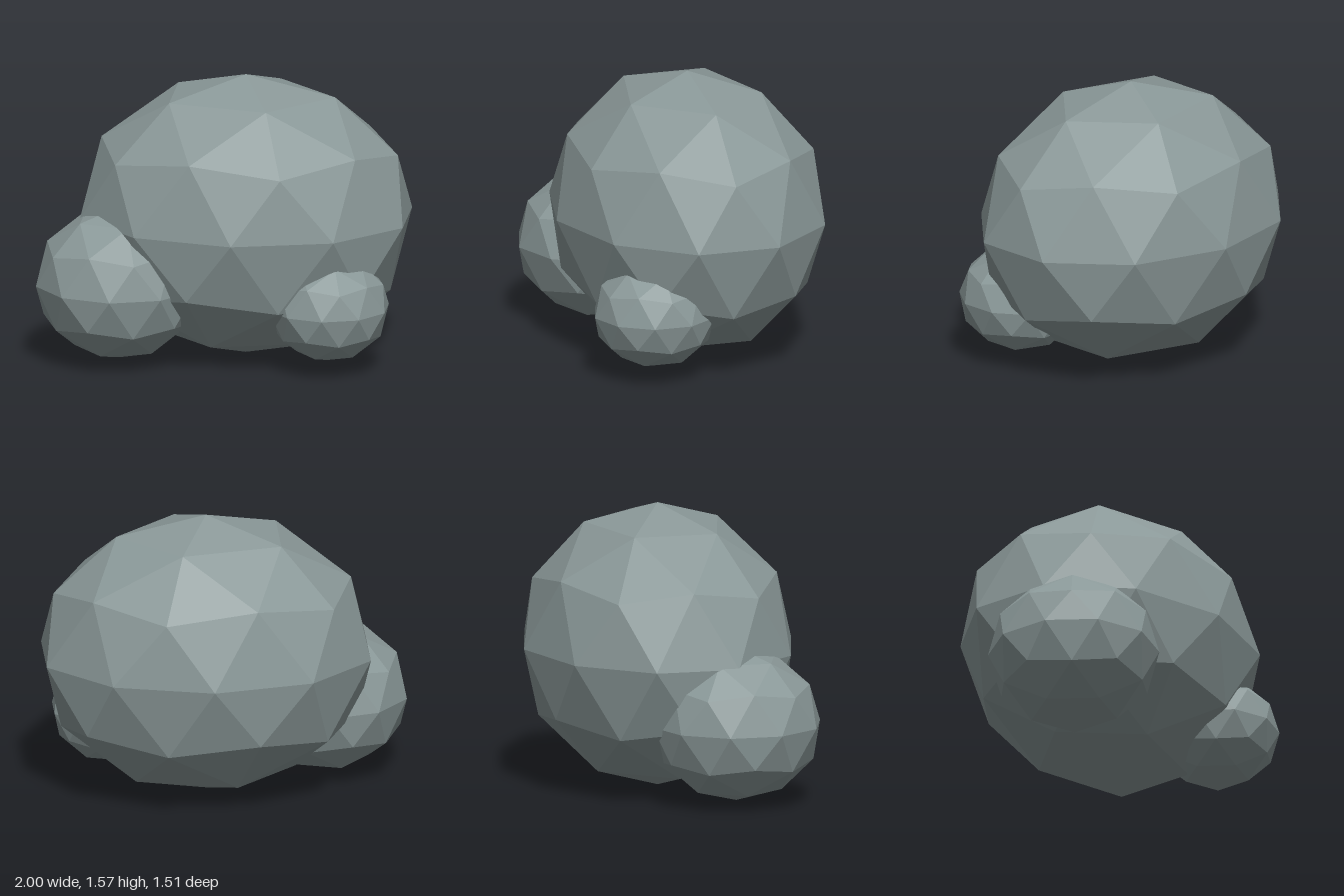
import * as THREE from 'three';

const stone = new THREE.MeshStandardMaterial({ color: 0x8a9898, flatShading: true });
stone.name = 'stone grey';

// Faceted boulder: an 80-sided icosphere standing on one of its corners
function boulder(name, [rx, ry, rz], [x, y, z]) {
  const geometry = new THREE.IcosahedronGeometry(1, 1);
  geometry.rotateZ(-Math.atan(2 / (1 + Math.sqrt(5)))); // bring a corner to the top
  geometry.scale(rx, ry, rz);
  geometry.computeVertexNormals();
  const mesh = new THREE.Mesh(geometry, stone);
  mesh.name = name;
  mesh.position.set(x, y, z);
  return mesh;
}

export function createModel() {
  const group = new THREE.Group();
  group.name = 'rockCluster';
  group.add(
    boulder('mainBoulder', [0.935, 0.785, 0.755], [0.11, 0.785, 0]),
    boulder('rightBoulder', [0.463, 0.425, 0.473], [-0.56, 0.445, 0.272]),
    boulder('leftBoulder', [0.336, 0.3, 0.345], [0.605, 0.36, 0.355]),
  );
  return group;
}
